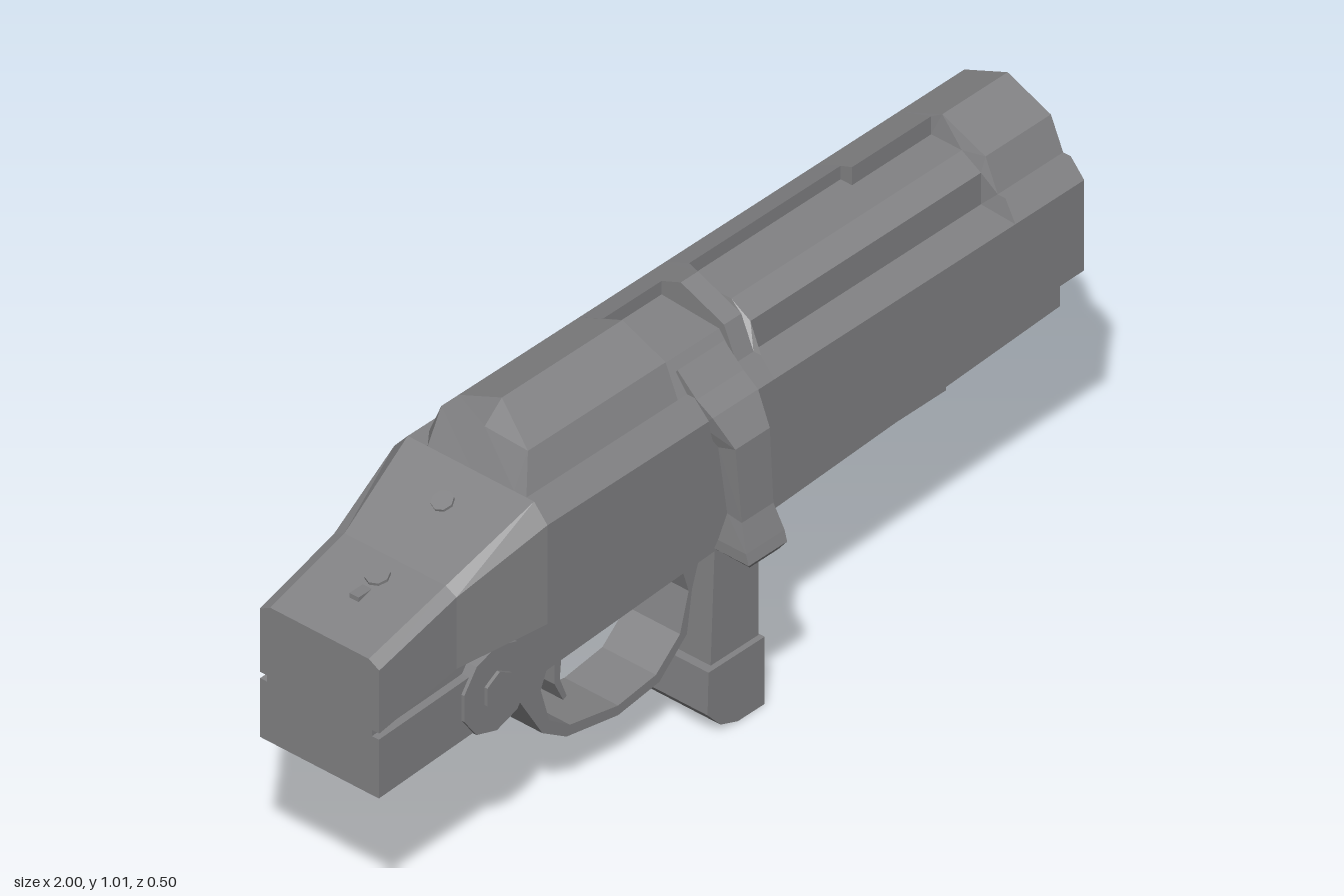
import * as THREE from 'three';

const steel = new THREE.MeshStandardMaterial({ color: 0x828284 });
steel.name = 'steel grey';

// Skin a list of closed rings of [x, y, z] with flat faces and fan caps
function loft(rings) {
  const pos = [];
  const tri = (a, b, c) => pos.push(...a, ...b, ...c);
  const n = rings[0].length;
  for (let r = 0; r < rings.length - 1; r++) {
    const a = rings[r], b = rings[r + 1];
    for (let i = 0; i < n; i++) {
      const j = (i + 1) % n;
      tri(a[i], b[i], b[j]);
      tri(a[i], b[j], a[j]);
    }
  }
  const centre = (ring) => [0, 1, 2].map((k) => ring.reduce((t, p) => t + p[k], 0) / n);
  const first = rings[0], last = rings[rings.length - 1];
  const c0 = centre(first), c1 = centre(last);
  for (let i = 0; i < n; i++) {
    const j = (i + 1) % n;
    tri(c0, first[i], first[j]);
    tri(c1, last[j], last[i]);
  }
  const g = new THREE.BufferGeometry();
  g.setAttribute('position', new THREE.Float32BufferAttribute(pos, 3));
  g.computeVertexNormals();
  return g;
}

// Side profile in x, y extruded evenly about the centre plane
function plate(points, half) {
  const shape = new THREE.Shape(points.map((p) => new THREE.Vector2(...p)));
  const g = new THREE.ExtrudeGeometry(shape, { depth: half * 2, bevelEnabled: false });
  return g.translate(0, 0, -half);
}

// Faceted prism along y
function prism(r, h, sides) {
  const g = new THREE.CylinderGeometry(r, r, h, sides).toNonIndexed();
  g.computeVertexNormals();
  return g;
}

export function createModel() {
  const model = new THREE.Group();
  model.name = 'rifleReceiver';
  const body = new THREE.Group();
  body.name = 'receiverAssembly';
  body.position.z = -0.045;
  model.add(body);

  const add = (name, geo, x = 0, y = 0, z = 0) => {
    const m = new THREE.Mesh(geo, steel);
    m.name = name;
    m.position.set(x, y, z);
    body.add(m);
    return m;
  };
  const box = (name, x0, x1, y0, y1, z0, z1) =>
    add(name, new THREE.BoxGeometry(x1 - x0, y1 - y0, z1 - z0), (x0 + x1) / 2, (y0 + y1) / 2, (z0 + z1) / 2);

  // Upper receiver cross-sections as [z, y], from the left skirt over the top
  const left = [[0.2, 0.61], [0.2, 0.85], [0.165, 0.89], [0.145, 0.89], [0.113, 0.965], [0, 1.012]];
  const right = left.map(([z, y]) => [-z, y]).reverse();
  const full = [...left, ...right];
  const cut = (near, edgeZ, edgeY) => [
    ...left.slice(0, 2), ...near, [edgeZ, 0.96], [edgeZ, edgeY], ...right.slice(1)];
  const notch = cut([[0.165, 0.89], [0.145, 0.89], [0.1, 0.95]], -0.05, 0.992);
  const portNear = [[0.11, 0.855], [0.11, 0.93], [0.06, 0.96]];
  const port = cut(portNear, -0.05, 0.992);
  const portFront = cut(portNear, -0.02, 1.003);
  const ring = (x, section, bottom = 0.622 + 0.013 * x) =>
    section.map(([z, y], i) => [x, i === 0 || i === 11 ? bottom : y, z]);
  const tail = (x, top, k, bottom) => ring(x, full.map(([z, y], i) =>
    [z * k, Math.min(y, i === 1 || i === 10 ? top - 0.015 : top)]), bottom);
  add('upperReceiver', loft([
    tail(-1, 0.73, 0.78, 0.565), tail(-0.78, 0.79, 0.8, 0.605),
    tail(-0.56, 0.89, 1), tail(-0.52, 0.97, 1), ring(-0.47, full),
    ring(-0.12, full), ring(-0.12, notch), ring(0.05, notch), ring(0.05, full),
    ring(0.1, full), ring(0.13, port), ring(0.57, port), ring(0.57, portFront),
    ring(0.8, portFront), ring(0.81, full), ring(1, full),
  ]));

  // Lower receiver and rear arm
  add('lowerReceiver', plate([[-1, 0.41], [-0.57, 0.435], [1, 0.52], [1, 0.65], [-0.98, 0.65], [-1, 0.6]], 0.137));
  add('rearArm', plate([[-1, 0.41], [-0.66, 0.425], [-0.62, 0.57], [-0.75, 0.56], [-1, 0.55]], 0.155));

  // Pivot bosses with hexagonal bolts on both sides
  for (const s of [-1, 1]) {
    add('pivotBoss', prism(0.1, 0.035, 10), -0.665, 0.5, s * 0.145).rotation.x = Math.PI / 2;
    add('pivotBolt', prism(0.042, 0.02, 6), -0.665, 0.5, s * 0.16).rotation.x = Math.PI / 2;
  }

  // Small controls on the rear slope
  add('rearButton', prism(0.024, 0.016, 8), -0.64, 0.852, 0).rotation.z = 0.44;
  add('safetyButton', prism(0.026, 0.016, 8), -0.83, 0.775, 0).rotation.z = 0.26;
  box('safetyTab', -0.9, -0.85, 0.75, 0.768, -0.012, 0.012);

  // Bolt handle: [outer z, outer y, inner z, inner y, half width]
  add('boltHandle', loft([
    [0.12, 0.935, 0.08, 0.88, 0.068], [0.17, 0.888, 0.12, 0.85, 0.068],
    [0.21, 0.862, 0.175, 0.83, 0.066], [0.255, 0.8, 0.21, 0.785, 0.05],
    [0.268, 0.63, 0.23, 0.635, 0.046], [0.288, 0.57, 0.215, 0.57, 0.056],
    [0.295, 0.545, 0.205, 0.545, 0.056], [0.285, 0.53, 0.235, 0.533, 0.042],
  ].map(([oz, oy, iz, iy, w]) => [
    [-0.025 - w, oy, oz], [-0.025 + w, oy, oz], [-0.025 + w, iy, iz], [-0.025 - w, iy, iz]])));

  // Trigger guard as a faceted band
  add('triggerGuard', plate([
    [-0.45, 0.46], [-0.5, 0.34], [-0.43, 0.225], [-0.36, 0.18], [-0.21, 0.152], [-0.09, 0.168],
    [-0.01, 0.24], [0.005, 0.34], [0.025, 0.4], [0.03, 0.49], [-0.03, 0.49], [-0.03, 0.42],
    [-0.005, 0.34], [-0.03, 0.25], [-0.1, 0.19], [-0.21, 0.175], [-0.35, 0.203], [-0.41, 0.245],
    [-0.435, 0.33], [-0.4, 0.41], [-0.35, 0.435], [-0.35, 0.46]], 0.07));
  add('trigger', plate([
    [-0.27, 0.46], [-0.32, 0.41], [-0.35, 0.34], [-0.35, 0.28], [-0.325, 0.23], [-0.315, 0.235],
    [-0.335, 0.285], [-0.33, 0.34], [-0.3, 0.39], [-0.22, 0.43], [-0.18, 0.46]], 0.03));

  // Front post: open channel holding two hexagonal blocks
  const postSide = [[0.025, 0.15], [0.165, 0.15], [0.165, 0.5], [0.04, 0.5]];
  for (const s of [-1, 1]) add('postWall', plate(postSide, 0.008), 0, 0, s * 0.092);
  add('postBack', plate([[0.025, 0.15], [0.06, 0.15], [0.06, 0.5], [0.04, 0.5]], 0.09));
  add('postFoot', plate([[0.005, 0.16], [0.002, 0.06], [0.04, 0.018], [0.09, 0], [0.168, 0], [0.168, 0.16]], 0.113));
  const hexes = [['lowerHexBlock', 0.09, 0.255, 0.15], ['upperHexBlock', 0.085, 0.4, 0.14], ['hexPin', 0.033, 0.395, 0.15]];
  for (const [name, r, y, x1] of hexes) {
    add(name, prism(r, x1 - 0.05, 6), (x1 + 0.05) / 2, y, 0).rotation.set(Math.PI / 2, 0, Math.PI / 2);
  }

  // Floor trough under the lower receiver
  for (const s of [-1, 1]) {
    for (const [a, b] of [[0.16, 0.268], [0.272, 0.513], [0.517, 0.71]]) {
      const z = s * 0.087;
      box('troughRail', a, b, 0.455, 0.515, z - 0.013, z + 0.013);
    }
    box('innerRail', 0.16, 0.66, 0.475, 0.51, s * 0.045 - 0.008, s * 0.045 + 0.008);
  }
  box('troughFront', 0.675, 0.71, 0.455, 0.515, -0.1, 0.1);

  return model;
}
